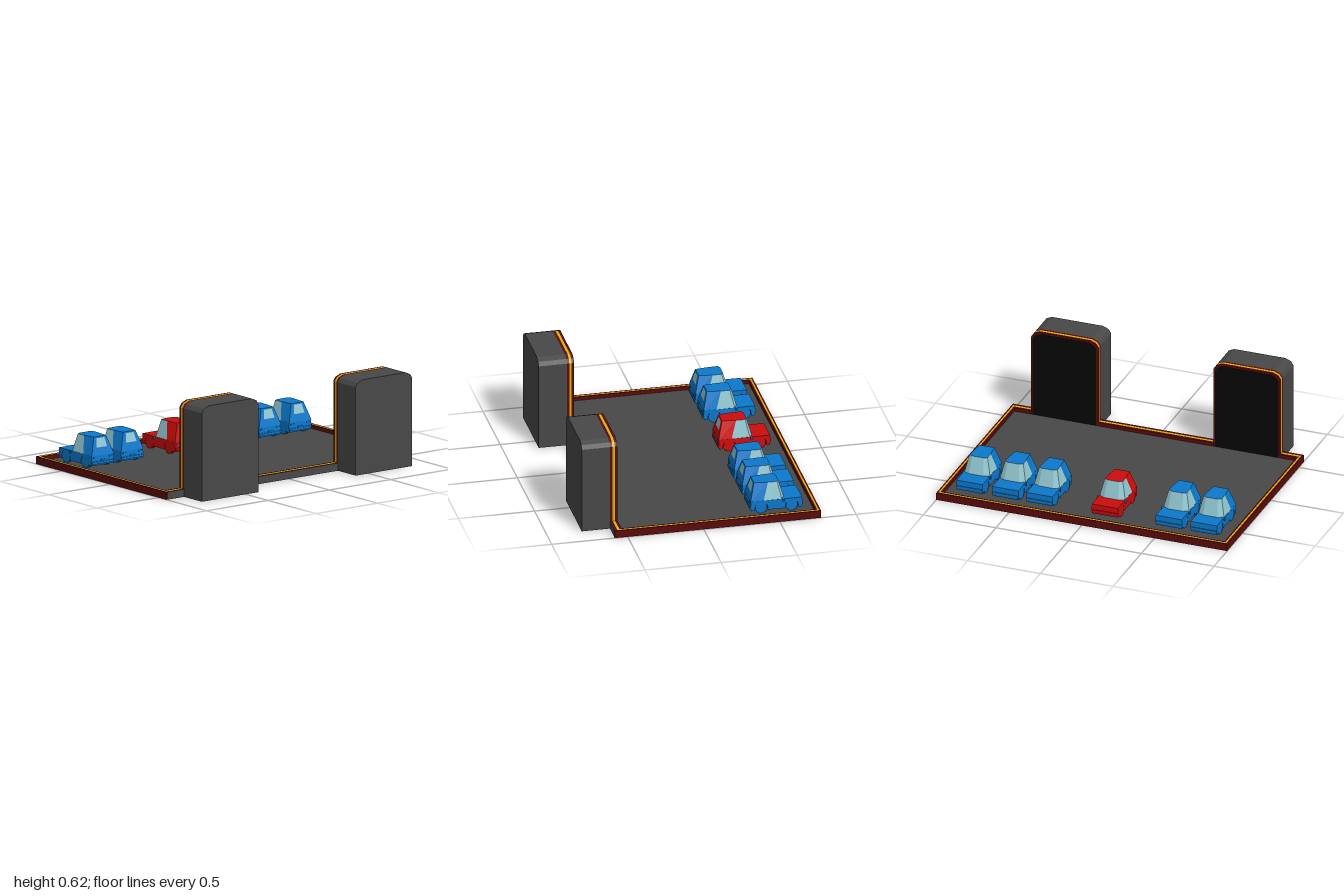
import * as THREE from 'three';

const mat = (color) => new THREE.MeshStandardMaterial({ color, flatShading: true });
const asphalt = mat(0x484848), darkRed = mat(0x5c0a0a), yellow = mat(0xd6b412);
const black = mat(0x070707), blue = mat(0x0c78cc), red = mat(0xcc0c0c), glass = mat(0x93c8d2);
const stripes = [darkRed, yellow, darkRed];

function add(parent, name, geometry, material) {
  const mesh = new THREE.Mesh(geometry, material);
  mesh.name = name;
  parent.add(mesh);
  return mesh;
}

// Box given by its limits on each axis
function box(parent, name, material, x0, x1, y0, y1, z0, z1) {
  const mesh = add(parent, name, new THREE.BoxGeometry(x1 - x0, y1 - y0, z1 - z0), material);
  mesh.position.set((x0 + x1) / 2, (y0 + y1) / 2, (z0 + z1) / 2);
  return mesh;
}

// Flat convex panel, corners counter-clockwise from outside
function panel(parent, name, material, corners) {
  const pos = [];
  for (let i = 1; i < corners.length - 1; i++) pos.push(...corners[0], ...corners[i], ...corners[i + 1]);
  const g = new THREE.BufferGeometry();
  g.setAttribute('position', new THREE.Float32BufferAttribute(pos, 3));
  g.computeVertexNormals();
  return add(parent, name, g, material);
}

// Point inside a four-cornered panel, pushed slightly outwards
function inset(q, u, v, push) {
  const [a, b, c, d] = q.map((p) => new THREE.Vector3(...p));
  const n = b.clone().sub(a).cross(d.clone().sub(a)).normalize();
  const low = a.clone().lerp(b, u), high = d.clone().lerp(c, u);
  return low.lerp(high, v).addScaledVector(n, push).toArray();
}

function windowOn(parent, name, q, u0, u1, v0, v1) {
  panel(parent, name, glass, [[u0, v0], [u1, v0], [u1, v1], [u0, v1]].map(([u, v]) => inset(q, u, v, 0.0015)));
}

// Small car, nose towards -x
function createCar(paint) {
  const car = new THREE.Group();

  // Lower body with wheel arches cut out of the side profile
  const s = new THREE.Shape();
  s.moveTo(-0.165, 0.045);
  for (const x of [-0.1, 0.1]) {
    s.lineTo(x - 0.042, 0.045);
    s.absarc(x, 0.06, 0.043, Math.PI + 0.2, -0.2, true);
    s.lineTo(x + 0.042, 0.045);
  }
  s.lineTo(0.165, 0.045);
  s.lineTo(0.17, 0.08);
  s.lineTo(0.168, 0.112);
  s.lineTo(-0.168, 0.112);
  s.lineTo(-0.17, 0.08);
  const body = new THREE.ExtrudeGeometry(s, { depth: 0.18, bevelEnabled: false, curveSegments: 8 });
  body.translate(0, 0, -0.09);
  add(car, 'body', body, paint);

  for (const side of [-1, 1]) {
    for (const x of [-0.1, 0.1]) {
      const wheel = add(car, 'wheel', new THREE.CylinderGeometry(0.04, 0.04, 0.025, 14), paint);
      wheel.rotation.x = Math.PI / 2;
      wheel.position.set(x, 0.064, side * 0.076);
    }
    const mirror = box(car, 'mirror', blue, -0.052, -0.04, 0.096, 0.112, 0.086, 0.1);
    mirror.position.z *= side;
    const lamp = box(car, 'tailLamp', blue, 0.165, 0.174, 0.092, 0.1, 0.05, 0.08);
    lamp.position.z *= side;
  }
  box(car, 'frontBumper', paint, -0.174, -0.16, 0.06, 0.075, -0.088, 0.088);
  box(car, 'rearBumper', paint, 0.16, 0.174, 0.055, 0.07, -0.088, 0.088);
  box(car, 'rearPlate', blue, 0.165, 0.175, 0.074, 0.082, -0.017, 0.017);

  // Cabin lofted from a base ring to a narrower roof ring
  const half = (pts, y) => pts.map(([x, z]) => [x, y, z]);
  const ring = (pts, y) => [...half(pts, y), ...half(pts.map(([x, z]) => [x, -z]).reverse(), y)];
  const base = ring([[-0.055, 0.05], [-0.035, 0.088], [0.085, 0.09], [0.17, 0.09]], 0.11);
  const roof = ring([[-0.022, 0.04], [-0.01, 0.062], [0.05, 0.06], [0.14, 0.05]], 0.226);
  const kinds = ['windscreenCorner', 'sideWindow', 'rearSide', 'tailgate', 'rearSide', 'sideWindow', 'windscreenCorner', 'windscreen'];
  kinds.forEach((name, i) => {
    const j = (i + 1) % 8;
    const q = [base[i], base[j], roof[j], roof[i]];
    const painted = name === 'rearSide' || name === 'tailgate';
    panel(car, name, painted ? paint : glass, q);
    if (name === 'tailgate') windowOn(car, 'rearWindow', q, 0.2, 0.8, 0.42, 0.92);
  });
  panel(car, 'roof', paint, roof);
  return car;
}

// Slice of the tunnel block between two x positions
function tunnelSlice(x0, x1, shrink = 0) {
  const k = 0.23 - shrink, h = 0.622 - shrink;
  const s = new THREE.Shape([
    [-k, 0], [k, 0], [k, h - 0.042], [k - 0.017, h - 0.016], [k - 0.055, h],
    [-k + 0.055, h], [-k + 0.017, h - 0.016], [-k, h - 0.042],
  ].map((p) => new THREE.Vector2(...p)));
  const g = new THREE.ExtrudeGeometry(s, { depth: x1 - x0, bevelEnabled: false });
  g.rotateY(Math.PI / 2);
  g.translate(x0, 0, 0);
  return g;
}

export function createModel() {
  const model = new THREE.Group();
  const X0 = -0.77, X1 = 0.585, top = 0.05, w = 0.01, wr = 0.016;

  // Ground slab, sunk a little below its striped kerb
  box(model, 'ground', asphalt, X0 + 0.005, X1 - 0.002, 0, 0.025, -0.995, 0.995);
  const kerb = new THREE.Group();
  kerb.name = 'kerb';
  model.add(kerb);
  stripes.forEach((m, i) => {
    const o = i * w, z1 = 1 - o, xr = X1 - 0.003 - i * wr;
    for (const side of [-1, 1]) {
      const strip = box(kerb, 'endKerb', m, X0 + o, i ? xr : X1, 0, top, z1 - w, z1);
      strip.position.z *= side;
      const stub = box(kerb, 'rightKerbEnd', m, xr - wr, xr, 0, top, 0.855, z1 - w);
      stub.position.z *= side;
    }
    box(kerb, 'leftKerb', m, X0 + o, X0 + o + w, 0, top, -z1 + w, z1 - w);
    box(kerb, 'rightKerb', m, xr - wr, xr, 0, top, -0.4, 0.4);
  });
  box(kerb, 'outerEdge', asphalt, X1 - 0.003, X1, 0, top, -0.99, 0.99);

  // Two tunnel blocks with striped portal bands and dark mouths
  for (const z of [0.627, -0.627]) {
    const tunnel = new THREE.Group();
    tunnel.name = 'tunnel';
    tunnel.position.z = z;
    stripes.forEach((m, i) => add(tunnel, 'portalBand', tunnelSlice(0.537 + i * wr, 0.537 + (i + 1) * wr), m));
    add(tunnel, 'tunnelBlock', tunnelSlice(X1, 0.77), asphalt);
    add(tunnel, 'tunnelMouth', tunnelSlice(0.535, 0.54, 0.012), black);
    model.add(tunnel);
  }

  // Row of parked cars, one of them red
  for (const z of [-0.81, -0.565, -0.33, 0.12, 0.56, 0.8]) {
    const car = createCar(z === 0.12 ? red : blue);
    car.name = z === 0.12 ? 'redCar' : 'blueCar';
    car.position.set(-0.5, 0, z);
    model.add(car);
  }
  return model;
}
